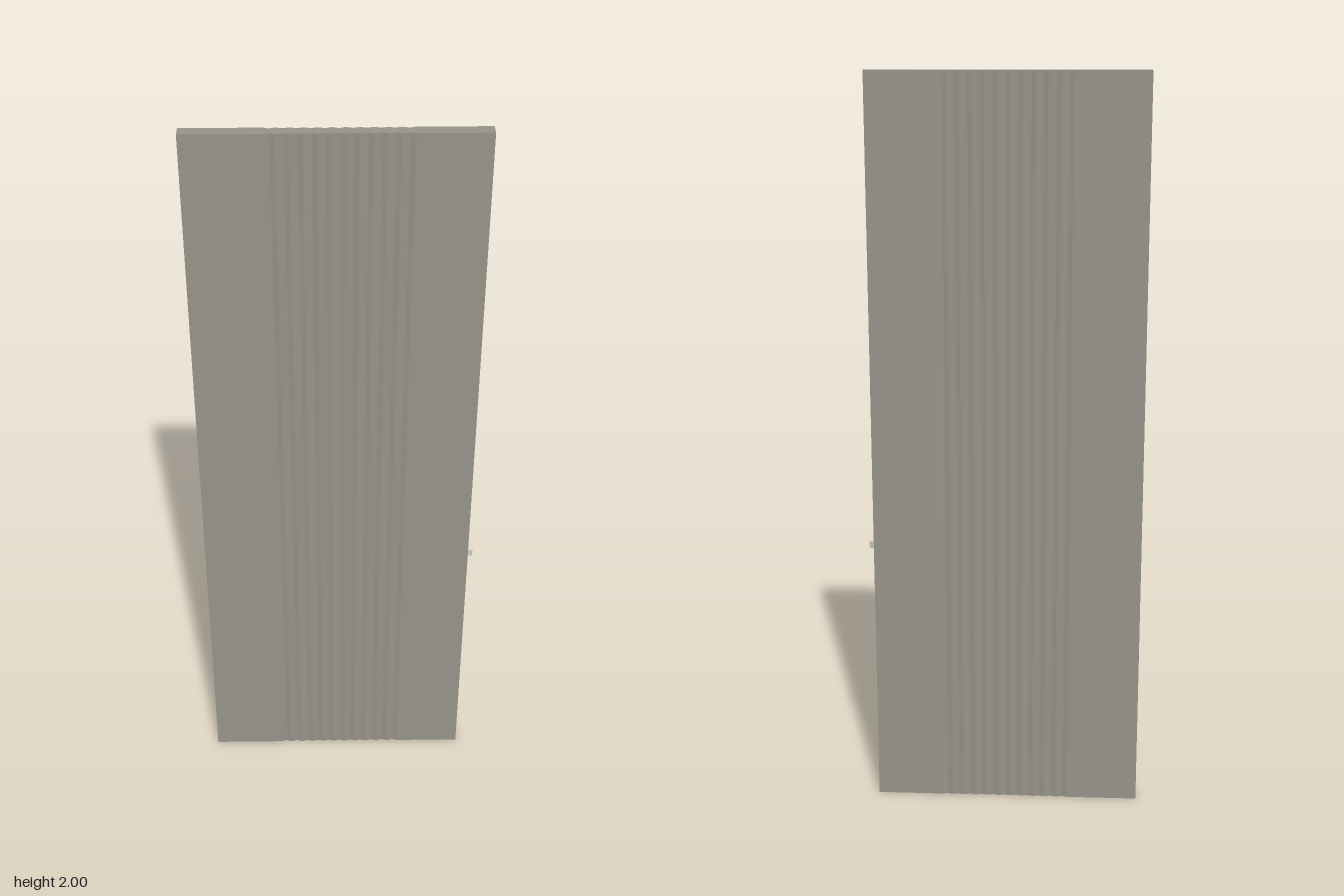
import * as THREE from 'three';

const LEFT = -0.371, RIGHT = 0.357, HALF = 0.0175;
const GROOVES = 11, PITCH = 0.0324, DEPTH = 0.0042, STEPS = 8;

// Extrude a plan outline given as [x, z] upwards from y0
function extrudePlan(points, y0, height) {
  const shape = new THREE.Shape(points.map(([x, z]) => new THREE.Vector2(x, -z)));
  const geo = new THREE.ExtrudeGeometry(shape, { depth: height, bevelEnabled: false });
  return geo.rotateX(-Math.PI / 2).translate(0, y0, 0);
}

// One long edge of the door plan, with a band of wavy vertical flutes
function flutedEdge(side) {
  const start = -GROOVES * PITCH / 2;
  const pts = [[LEFT, side * HALF]];
  for (let i = 0; i <= GROOVES * STEPS; i++) {
    const dip = DEPTH * (1 - Math.cos(i / STEPS * Math.PI * 2)) / 2;
    pts.push([start + i / STEPS * PITCH, side * (HALF - dip)]);
  }
  pts.push([RIGHT, side * HALF]);
  return pts;
}

export function createModel() {
  const group = new THREE.Group();
  group.name = 'flutedDoor';
  const wood = new THREE.MeshStandardMaterial({ color: 0x97938a });
  const metal = new THREE.MeshStandardMaterial({ color: 0xcccccc });
  const add = (name, geo, mat) => {
    const mesh = new THREE.Mesh(geo, mat);
    mesh.name = name;
    group.add(mesh);
  };

  // Door leaf, fluted on both faces
  add('doorLeaf', extrudePlan([...flutedEdge(1), ...flutedEdge(-1).reverse()], 0, 2), wood);

  // Round-ended latch plate on the closing edge
  const r = 0.012, y = 0.738, h = 0.083 - r;
  const plate = new THREE.Shape();
  plate.absarc(0, h, r, 0, Math.PI);
  plate.absarc(0, -h, r, Math.PI, Math.PI * 2);
  plate.closePath();
  const plateGeo = new THREE.ExtrudeGeometry(plate, { depth: 0.003, bevelEnabled: false, curveSegments: 12 });
  add('latchPlate', plateGeo.rotateY(Math.PI / 2).translate(RIGHT - 0.002, y, 0), metal);

  // Wedge-shaped latch bolt
  const bolt = [[RIGHT, 0.005], [0.371, 0.004], [0.371, 0.001], [RIGHT, -0.007]];
  add('latchBolt', extrudePlan(bolt, y - 0.009, 0.018), metal);

  return group;
}
